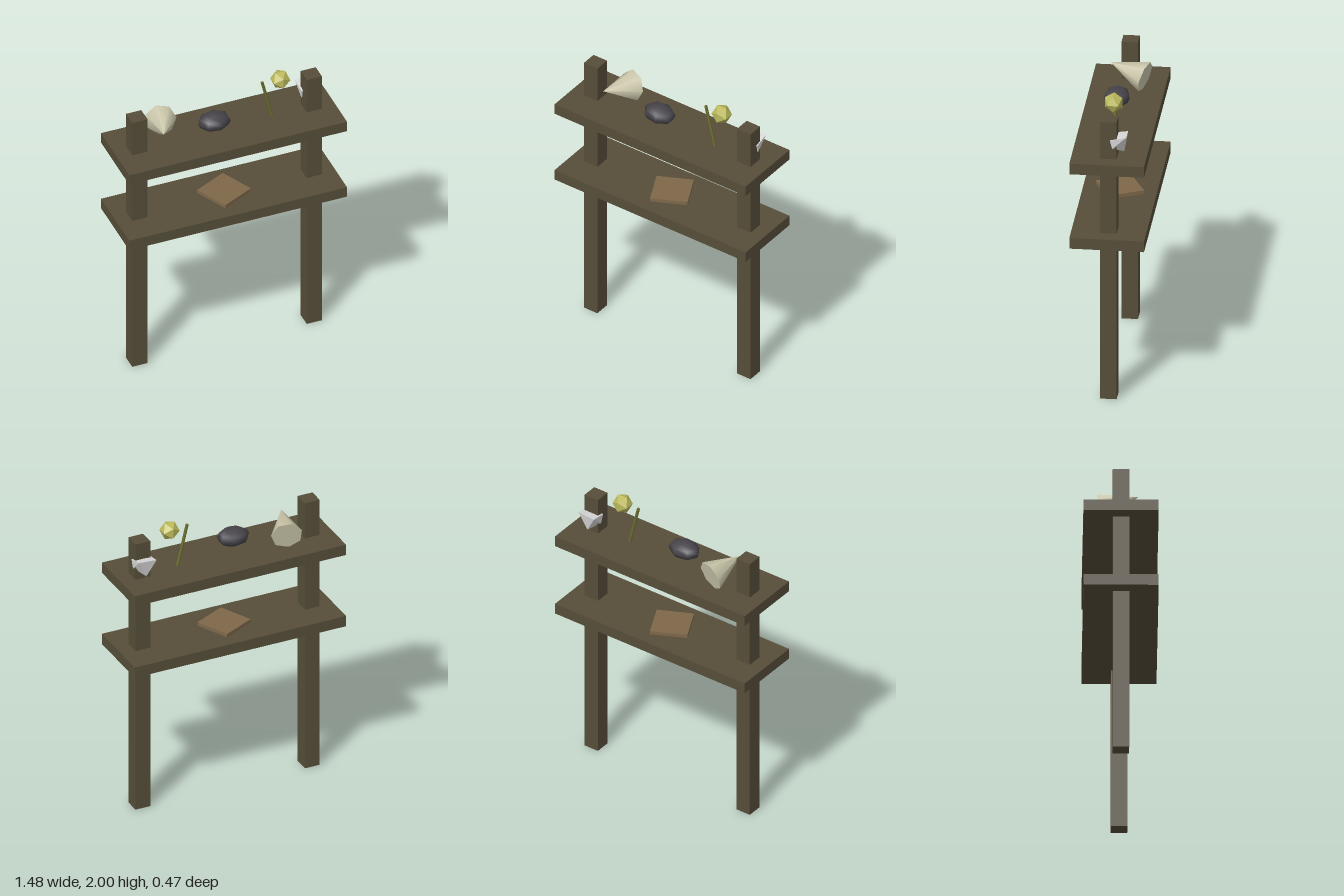
import * as THREE from 'three';
import { ConvexGeometry } from 'three/addons/geometries/ConvexGeometry.js';

const material = (name, color) => {
  const m = new THREE.MeshStandardMaterial({ color });
  m.name = name;
  return m;
};

export function createModel() {
  const model = new THREE.Group();
  model.name = 'displayShelf';

  const wood = material('darkWood', 0x564e39);
  const leather = material('tanLeather', 0x7e684a);
  const ivory = material('ivory', 0xcdc9ad);
  const slate = material('slate', 0x454349);
  const moss = material('mossGreen', 0x6c7030);
  const pollen = material('yellowGreen', 0xbcba5c);
  const white = material('paleWhite', 0xd8d8d8);

  const add = (name, geometry, mat, x = 0, y = 0, z = 0) => {
    const mesh = new THREE.Mesh(geometry, mat);
    mesh.name = name;
    mesh.position.set(x, y, z);
    model.add(mesh);
    return mesh;
  };
  const up = new THREE.Vector3(0, 1, 0);

  // Two square posts carrying two boards
  for (const side of [-1, 1]) {
    add(side > 0 ? 'leftPost' : 'rightPost',
      new THREE.BoxGeometry(0.104, 1.93, 0.104), wood, side * 0.594, 0.965, 0);
  }
  add('lowerShelf', new THREE.BoxGeometry(1.483, 0.074, 0.474), wood, 0, 1.118, 0);
  add('upperShelf', new THREE.BoxGeometry(1.483, 0.074, 0.474), wood, 0, 1.637, 0);

  // Book turned on the lower shelf
  add('book', new THREE.BoxGeometry(0.24, 0.024, 0.24), leather, 0, 1.174, 0)
    .rotation.y = 0.45;

  // Seven-sided shell lying on its side, tip towards the front
  const tip = new THREE.Vector3(-0.455, 1.825, 0.11);
  const mouth = new THREE.Vector3(-0.385, 1.768, -0.115);
  const axis = tip.clone().sub(mouth);
  const shell = add('shell',
    new THREE.ConeGeometry(0.102, axis.length(), 7).rotateY(Math.PI), ivory);
  shell.position.copy(tip).add(mouth).multiplyScalar(0.5);
  shell.quaternion.setFromUnitVectors(up, axis.normalize());

  // Flattened stone
  add('stone', new THREE.SphereGeometry(1, 7, 6), slate, -0.078, 1.768, 0.027)
    .scale.set(0.11, 0.06, 0.083);

  // Leaning stem with a faceted bloom beside its top
  add('stem', new THREE.CylinderGeometry(0.01, 0.01, 0.3, 6), moss, 0.295, 1.81, -0.003)
    .rotation.z = 0.235;
  add('bloom', new THREE.IcosahedronGeometry(0.065, 0), pollen, 0.384, 1.945, -0.003);

  // Pale crystal tucked behind the left post
  const corners = [
    [-0.063, 0.05, -0.058], [0.057, 0.058, -0.058],
    [0.063, 0.035, 0.045], [-0.06, 0.035, 0.045],
    [0, -0.062, -0.04], [-0.055, -0.028, 0.03], [0.06, -0.022, 0.03],
  ].map((c) => new THREE.Vector3(...c));
  add('crystal', new ConvexGeometry(corners), white, 0.591, 1.77, -0.055);

  return model;
}
